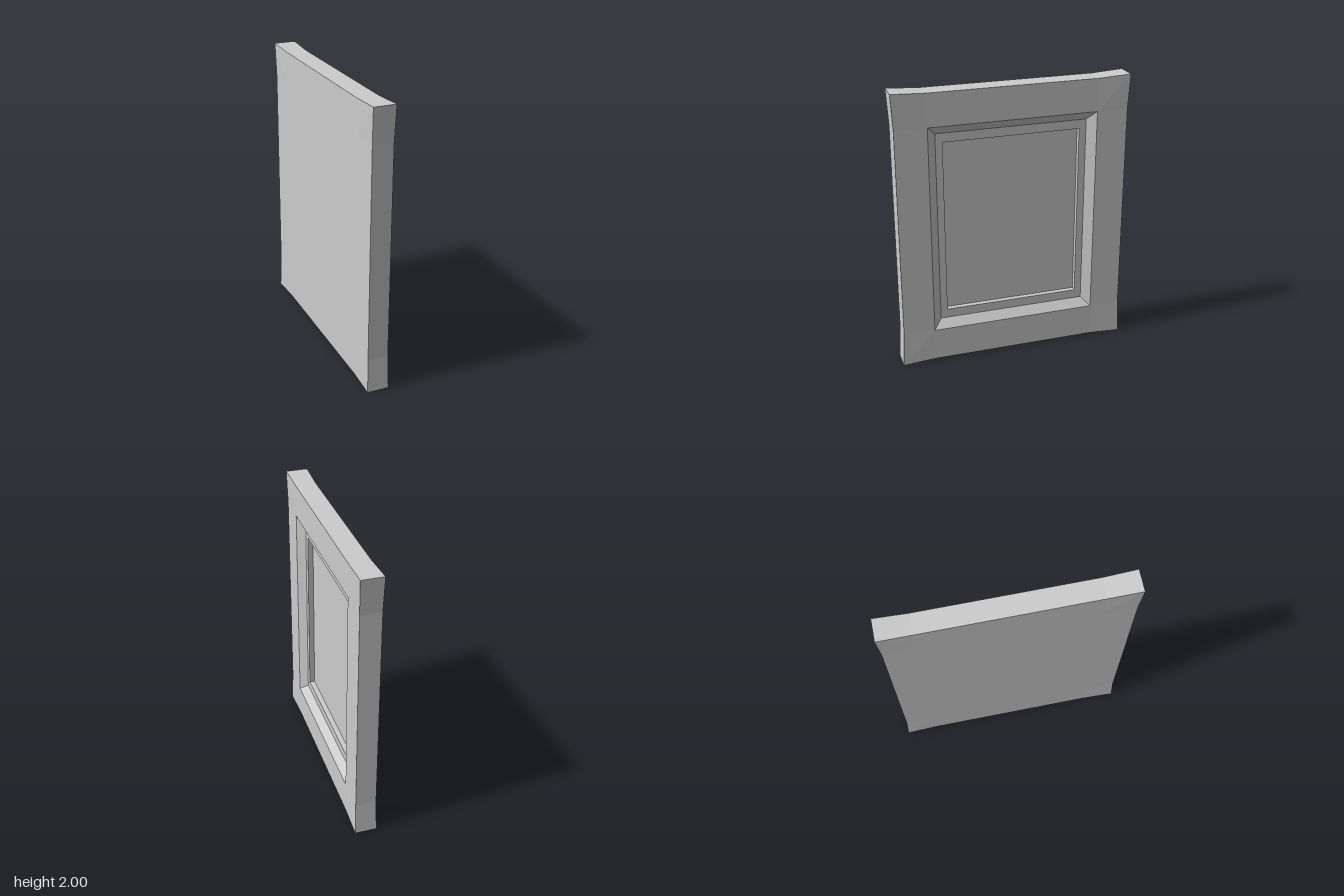
import * as THREE from 'three';

const CY = 1.0;           // panel centre height
const X_MID = 0.073;      // half thickness along the sides
const X_CORNER = 0.0775;  // half thickness at the flared corners

// corner signs, counter-clockwise seen from +x (u = -z)
const CORNERS = [[1, -1], [1, 1], [-1, 1], [-1, -1]];

// Rectangle ring; each corner is repeated three times to match the outline
function rectRing(x, halfZ, halfY) {
  return CORNERS.flatMap(([u, v]) => {
    const p = [x, CY + v * halfY, -u * halfZ];
    return [p, p, p];
  });
}

// Outer outline with flared corners: edge point, corner, edge point
function outlineRing(side) {
  return CORNERS.flatMap(([u, v]) => {
    const onSide = [side * X_MID, CY + v * 0.755, -u * 0.818];
    const corner = [side * X_CORNER, CY + v, -u * 0.831];
    const onEnd = [side * X_MID, CY + v * 0.988, -u * 0.598];
    return u * v < 0 ? [onEnd, corner, onSide] : [onSide, corner, onEnd];
  });
}

// Skin consecutive rings with flat faces, skipping collapsed triangles
function loft(name, rings, material) {
  const pos = [];
  const same = (a, b) => a.every((c, i) => Math.abs(c - b[i]) < 1e-6);
  const tri = (a, b, c) => {
    if (!same(a, b) && !same(b, c) && !same(a, c)) pos.push(...a, ...b, ...c);
  };
  for (let r = 0; r < rings.length - 1; r++) {
    const a = rings[r], b = rings[r + 1];
    for (let i = 0; i < a.length; i++) {
      const j = (i + 1) % a.length;
      tri(a[i], a[j], b[j]);
      tri(a[i], b[j], b[i]);
    }
  }
  const geo = new THREE.BufferGeometry();
  geo.setAttribute('position', new THREE.Float32BufferAttribute(pos, 3));
  geo.computeVertexNormals();
  const mesh = new THREE.Mesh(geo, material);
  mesh.name = name;
  return mesh;
}

export function createModel() {
  const group = new THREE.Group();
  group.name = 'framedPanel';
  const material = new THREE.MeshStandardMaterial({ color: 0xcccccc, flatShading: true });

  const opening = rectRing(X_MID, 0.595, 0.755);
  const bevelEnd = rectRing(0.021, 0.535, 0.693);
  const ledgeEnd = rectRing(0.021, 0.485, 0.628);
  const floorEdge = rectRing(-0.017, 0.485, 0.628);

  // flat back, outer edge and front border
  group.add(loft('frame', [
    rectRing(-X_MID, 0, 0),
    rectRing(-X_MID, 0.595, 0.755),
    outlineRing(-1),
    outlineRing(1),
    opening,
  ], material));

  // sloped moulding and the flat ledge inside it
  group.add(loft('bevelAndLedge', [opening, bevelEnd, ledgeEnd], material));

  // sunken centre panel
  group.add(loft('recessedPanel', [ledgeEnd, floorEdge, rectRing(-0.017, 0, 0)], material));

  return group;
}
